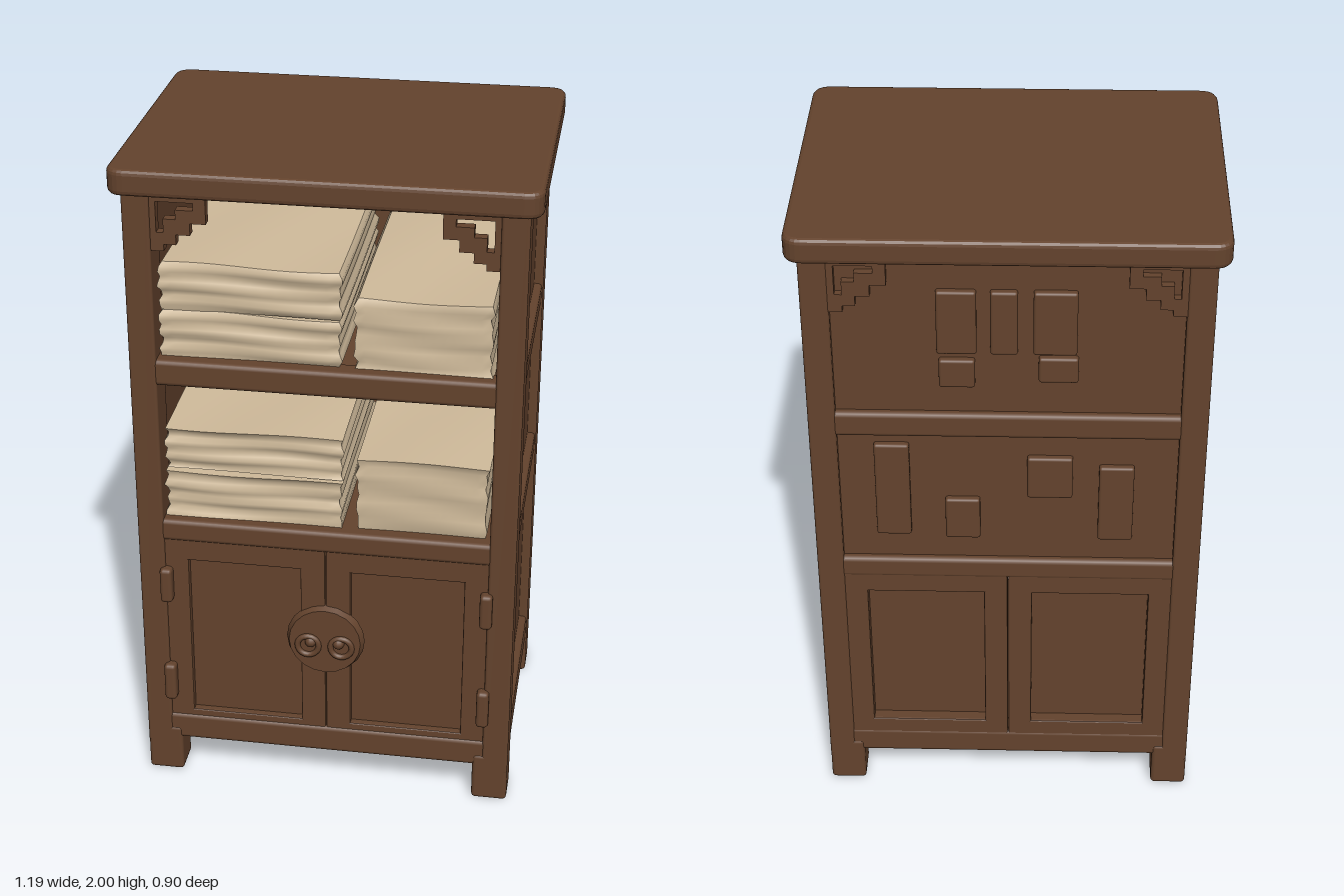
import * as THREE from 'three';
import { RoundedBoxGeometry } from 'three/addons/geometries/RoundedBoxGeometry.js';

const wood = new THREE.MeshStandardMaterial({ color: 0x64432d });
wood.name = 'dark wood';
const paper = new THREE.MeshStandardMaterial({ color: 0xd0bb9b });
paper.name = 'aged paper';

export function createModel() {
  const cabinet = new THREE.Group();
  cabinet.name = 'cabinet';

  const add = (name, geometry, material = wood) => {
    const mesh = new THREE.Mesh(geometry, material);
    mesh.name = name;
    cabinet.add(mesh);
    return mesh;
  };
  // Box given by its limits on each axis, with softened edges when r > 0
  const block = (name, [x0, x1], [y0, y1], [z0, z1], r = 0.008, material = wood) => {
    const size = [x1 - x0, y1 - y0, z1 - z0];
    const geo = r ? new RoundedBoxGeometry(...size, 2, r) : new THREE.BoxGeometry(...size);
    geo.translate((x0 + x1) / 2, (y0 + y1) / 2, (z0 + z1) / 2);
    return add(name, geo, material);
  };
  // The same limits mirrored to the other side when s = -1
  const side = (s, a, b) => (s > 0 ? [a, b] : [-b, -a]);

  // Thick overhanging top with rounded plan corners and soft edges
  const w = 0.582, d = 0.437, c = 0.04;
  const plan = new THREE.Shape();
  plan.moveTo(-w + c, -d);
  plan.lineTo(w - c, -d).quadraticCurveTo(w, -d, w, -d + c);
  plan.lineTo(w, d - c).quadraticCurveTo(w, d, w - c, d);
  plan.lineTo(-w + c, d).quadraticCurveTo(-w, d, -w, d - c);
  plan.lineTo(-w, -d + c).quadraticCurveTo(-w, -d, -w + c, -d);
  const top = new THREE.ExtrudeGeometry(plan, {
    depth: 0.045, bevelSize: 0.013, bevelThickness: 0.015, bevelSegments: 3, curveSegments: 6,
  });
  top.rotateX(-Math.PI / 2).translate(0, 1.94, 0);
  add('top', top);

  // Corner posts, feet, and panelled sides
  for (const s of [1, -1]) {
    for (const f of [1, -1]) {
      block('post', side(s, 0.482, 0.56), [0.1, 1.94], side(f, 0.305, 0.413));
      block('foot', side(s, 0.452, 0.56), [0, 0.16], side(f, 0.302, 0.413), 0.012);
    }
    block('sidePanel', side(s, 0.49, 0.532), [0.14, 1.93], [-0.32, 0.32], 0);
    for (const [y0, y1] of [[0.12, 0.215], [0.835, 0.905], [1.35, 1.42]])
      block('sideRail', side(s, 0.48, 0.556), [y0, y1], [-0.33, 0.33], 0.012);
  }

  // Shelves and floor
  for (const [y0, y1] of [[0.17, 0.2], [0.85, 0.9], [1.36, 1.415]])
    block('shelf', [-0.5, 0.5], [y0, y1], [-0.38, 0.38], 0);
  // Front and back rails
  for (const f of [1, -1])
    for (const [y0, y1] of [[0.12, 0.21], [0.83, 0.9], [1.34, 1.42]])
      block('rail', [-0.5, 0.5], [y0, y1], side(f, 0.34, 0.41), 0.014);
  block('upperBackPanel', [-0.5, 0.5], [0.85, 1.93], [-0.388, -0.36], 0);

  // Doors on the front and matching framed panels on the back
  const frame = (x0, x1, y0, y1, inset) => {
    const rect = (p, a, b, e, g) => p.moveTo(a, e).lineTo(b, e).lineTo(b, g).lineTo(a, g).closePath();
    const shape = new THREE.Shape();
    rect(shape, x0, x1, y0, y1);
    const hole = new THREE.Path();
    rect(hole, x0 + inset, x1 - inset, y0 + inset, y1 - inset);
    shape.holes.push(hole);
    return new THREE.ExtrudeGeometry(shape, {
      depth: 0.03, bevelSize: 0.004, bevelThickness: 0.006, bevelSegments: 2,
    });
  };
  for (const s of [1, -1]) {
    const [x0, x1] = side(s, 0.005, 0.482);
    add('doorFrame', frame(x0, x1, 0.16, 0.835, 0.066)).position.z = 0.368;
    block('doorPanel', [x0, x1], [0.18, 0.84], [0.36, 0.382], 0);
    const back = add('backFrame', frame(x0, x1, 0.19, 0.84, 0.062));
    back.position.z = -0.402;
    block('backPanel', [x0, x1], [0.18, 0.84], [-0.372, -0.35], 0);

    // Hinges
    for (const [y0, y1] of [[0.275, 0.4], [0.625, 0.74]])
      block('hinge', side(s, 0.46, 0.497), [y0, y1], [0.39, 0.434], 0.012);
  }
  block('doorSeam', [-0.01, 0.01], [0.2, 0.83], [0.36, 0.396], 0);

  // Round lock plate with two knobs and ring pulls
  const plate = add('lockPlate', new THREE.CylinderGeometry(0.108, 0.118, 0.022, 20));
  plate.rotation.x = Math.PI / 2;
  plate.position.set(0, 0.53, 0.411);
  for (const s of [1, -1]) {
    const ring = add('ringPull', new THREE.TorusGeometry(0.032, 0.009, 8, 20));
    ring.position.set(s * 0.05, 0.515, 0.425);
    const knob = add('knob', new THREE.SphereGeometry(0.018, 12, 8));
    knob.position.set(s * 0.042, 0.53, 0.424);
  }

  // Stepped fretwork brackets in the upper corners
  const fret = new THREE.Shape([
    [0.49, 1.93], [0.325, 1.93], [0.325, 1.84], [0.37, 1.84], [0.37, 1.805],
    [0.41, 1.805], [0.41, 1.775], [0.445, 1.775], [0.445, 1.755], [0.49, 1.755],
  ].map(([x, y]) => new THREE.Vector2(x - 0.49, y - 1.93)));
  fret.holes.push(new THREE.Path([
    [0.465, 1.9], [0.465, 1.81], [0.445, 1.81], [0.445, 1.85], [0.41, 1.85], [0.41, 1.878], [0.36, 1.878], [0.36, 1.9],
  ].map(([x, y]) => new THREE.Vector2(x - 0.49, y - 1.93))));
  const fretGeo = new THREE.ExtrudeGeometry(fret, { depth: 0.03, bevelEnabled: false });
  for (const s of [1, -1]) {
    for (const f of [1, -1]) {
      const bracket = add('bracket', fretGeo);
      // Half turns place the bracket on all four corners
      bracket.rotation.y = s * f > 0 ? 0 : Math.PI;
      bracket.position.set(s * 0.49, 1.93, f * 0.39);
      if (f > 0) bracket.position.z = s > 0 ? 0.375 : 0.405;
      else {
        bracket.rotation.y = s > 0 ? 0 : Math.PI;
        bracket.position.z = s > 0 ? -0.41 : -0.38;
      }
    }
  }

  // Raised plaques on the back: centre x, width, bottom, top
  for (const [x, width, y0, y1] of [
    [0.14, 0.11, 1.62, 1.82], [0.14, 0.1, 1.51, 1.6], [0.01, 0.075, 1.62, 1.82],
    [-0.13, 0.12, 1.62, 1.82], [-0.14, 0.11, 1.53, 1.61], [0.33, 0.1, 0.99, 1.31],
    [0.13, 0.1, 0.98, 1.12], [-0.12, 0.13, 1.13, 1.27], [-0.31, 0.1, 0.98, 1.24],
  ]) block('backPlaque', [x - width / 2, x + width / 2], [y0, y1], [-0.408, -0.38], 0.008);

  // Paper stacks: boxes whose layers sway gently in and out
  const stack = (x0, x1, y0, y1, seed) => {
    const h = y1 - y0;
    const geo = new THREE.BoxGeometry(x1 - x0, h, 0.7, 14, 10, 10);
    const p = geo.attributes.position;
    for (let i = 0; i < p.count; i++) {
      const x = p.getX(i), y = p.getY(i), z = p.getZ(i);
      const sway = 0.005 * Math.sin(y * 130 + seed) + 0.003 * Math.sin(y * 61 + x * 9 + seed * 2);
      const lift = y > -h / 2 + 0.001 ? 0.004 * Math.sin(x * 11 + z * 5 + seed) : 0;
      p.setXYZ(i, x + sway * Math.sign(x), y + lift, z + sway * Math.sign(z));
    }
    geo.computeVertexNormals();
    geo.translate((x0 + x1) / 2, (y0 + y1) / 2, 0.02);
    add('paperStack', geo, paper);
  };
  stack(-0.474, 0.04, 1.415, 1.56, 1);
  stack(-0.472, 0.042, 1.562, 1.705, 1.4);
  stack(0.083, 0.466, 1.415, 1.632, 3);
  stack(-0.474, 0.042, 0.9, 1.046, 4);
  stack(-0.472, 0.046, 1.058, 1.188, 5);
  stack(0.09, 0.466, 0.9, 1.13, 6);

  return cabinet;
}
